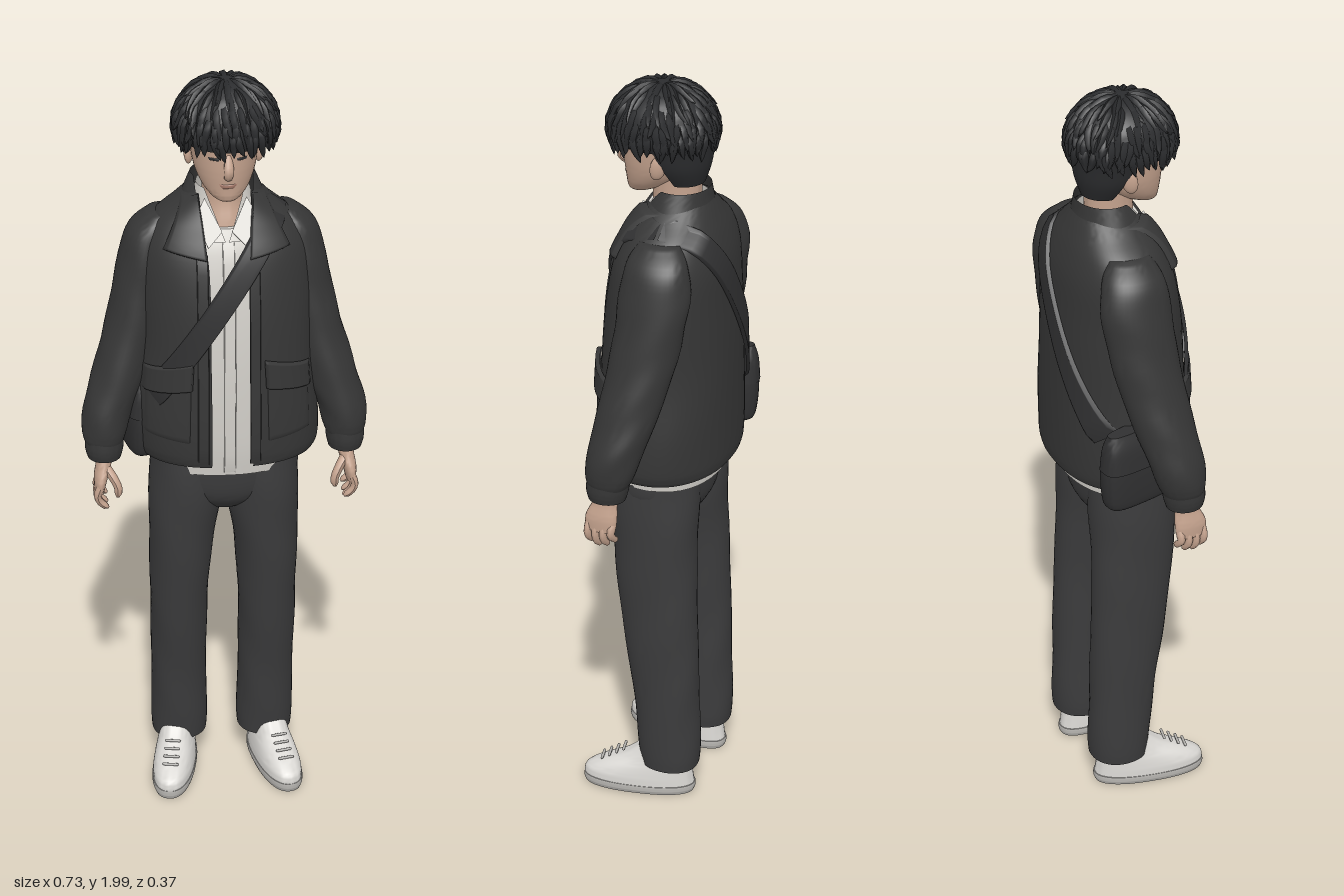
import * as THREE from 'three';
import { toCreasedNormals } from 'three/addons/utils/BufferGeometryUtils.js';

const mat = (name, color) => {
  const m = new THREE.MeshStandardMaterial({ color, side: THREE.DoubleSide });
  m.name = name;
  return m;
};

// Smoothly refine cross-sections [y, cx, cz, rx, rz, gap]
function refine(sections, n = 5) {
  const rows = [];
  const at = (i) => sections[Math.min(sections.length - 1, Math.max(0, i))];
  for (let i = 0; i < sections.length - 1; i++) {
    for (let k = 0; k < n; k++) {
      const t = k / n;
      rows.push(at(i).map((b, c) => {
        const a = at(i - 1)[c], d = at(i + 1)[c], e = at(i + 2)[c];
        return b + 0.5 * t * (d - a + t * (2 * a - 5 * b + 4 * d - e + t * (3 * (b - d) + e - a)));
      }));
    }
  }
  rows.push(at(sections.length - 1));
  return rows;
}

// Skin rising cross-sections; a sixth value opens the front by that half width
function loft(sections, { seg = 40, e = 1, fold = 0, freq = 40 } = {}) {
  const rows = refine(sections), open = sections[0].length > 5;
  const pos = [], idx = [], cols = open ? seg + 1 : seg;
  rows.forEach(([y, cx, cz, rx, rz, gap = 0]) => {
    const g = Math.asin(Math.min(1, Math.max(0, gap) / rx) ** (1 / e));
    for (let j = 0; j < cols; j++) {
      const t = g + (j / seg) * (2 * Math.PI - 2 * g), s = Math.sin(t), c = Math.cos(t);
      const w = 1 + fold * Math.sin(y * freq + 2 * s + 3 * c) * (0.6 + 0.4 * Math.sin(2 * t + y * 9));
      pos.push(cx + rx * w * Math.sign(s) * Math.abs(s) ** e, y, cz + rz * w * Math.sign(c) * Math.abs(c) ** e);
    }
  });
  for (let i = 0; i < rows.length - 1; i++) {
    for (let j = 0; j < seg; j++) {
      const a = i * cols + j, b = i * cols + ((j + 1) % cols);
      idx.push(a, b, b + cols, a, b + cols, a + cols);
    }
  }
  if (!open) { // end caps
    [0, rows.length - 1].forEach((r, top) => {
      const c = pos.length / 3;
      pos.push(rows[r][1], rows[r][0], rows[r][2]);
      for (let j = 0; j < seg; j++) {
        const a = r * cols + j, b = r * cols + ((j + 1) % seg);
        idx.push(c, top ? a : b, top ? b : a);
      }
    });
  }
  const geo = new THREE.BufferGeometry();
  geo.setAttribute('position', new THREE.Float32BufferAttribute(pos, 3));
  geo.setIndex(idx);
  return toCreasedNormals(geo, 1);
}

// Depth of a lofted surface at (x, y), front (1) or back (-1)
function depth(rows, e, x, y, side) {
  let i = rows.findIndex((r) => r[0] > y);
  if (i < 0) i = rows.length - 1;
  i = Math.max(1, i);
  const t = Math.min(1, Math.max(0, (y - rows[i - 1][0]) / (rows[i][0] - rows[i - 1][0])));
  const [, cx, cz, rx, rz] = rows[i].map((v, k) => v * t + rows[i - 1][k] * (1 - t));
  const q = Math.min(1, Math.abs(x - cx) / rx) ** (2 / e);
  return cz + side * rz * (1 - q) ** (e / 2);
}

// Four-cornered plate laid over a lofted surface
function patch(sections, e, corners, lift, side = 1, n = 24) {
  const rows = refine(sections), geo = new THREE.PlaneGeometry(1, 1, n, n), p = geo.attributes.position;
  for (let i = 0; i < p.count; i++) {
    const u = p.getX(i) + 0.5, v = 0.5 - p.getY(i);
    const edge = Math.min(u, v, 1 - u, 1 - v) < 0.01;
    const [x, y] = [0, 1].map((k) => (corners[0][k] * (1 - u) + corners[1][k] * u) * (1 - v)
      + (corners[3][k] * (1 - u) + corners[2][k] * u) * v);
    p.setXYZ(i, x, y, depth(rows, e, x, y, side) + side * lift * (edge ? 0.3 : 1));
  }
  geo.computeVertexNormals();
  if (side < 0) {
    geo.index.array.reverse();
    geo.computeVertexNormals();
  }
  return geo;
}

// Tube whose radius follows a rule along its length
function taper(points, r, rule, seg = 8, radial = 7) {
  const curve = new THREE.CatmullRomCurve3(points.map((q) => new THREE.Vector3(...q)));
  const geo = new THREE.TubeGeometry(curve, seg, r, radial), p = geo.attributes.position, v = new THREE.Vector3();
  for (let i = 0; i < p.count; i++) {
    const u = Math.floor(i / (radial + 1)) / seg, c = curve.getPointAt(u);
    v.fromBufferAttribute(p, i).sub(c).multiplyScalar(rule(u)).add(c);
    p.setXYZ(i, v.x, v.y, v.z);
  }
  geo.computeVertexNormals();
  return geo;
}

export function createModel() {
  const root = new THREE.Group();
  const hair = mat('hair charcoal', 0x2b2c2e), skin = mat('skin', 0xc6a48f), lip = mat('lip', 0xa97c6c);
  const cloth = mat('jacket grey', 0x363636), trouser = mat('trouser grey', 0x3b3b3c), bagMat = mat('bag black', 0x303031);
  const shirtMat = mat('shirt off white', 0xd2cfc9), shoeMat = mat('shoe white', 0xd9d7d3), soleMat = mat('sole grey', 0xb5b3af);
  const add = (name, geo, m, parent = root) => {
    const mesh = new THREE.Mesh(geo, m);
    mesh.name = name;
    parent.add(mesh);
    return mesh;
  };

  // Head and neck
  const face = [[1.695, 0, 0.08, 0.022, 0.022], [1.705, 0, 0.07, 0.038, 0.038], [1.73, 0, 0.045, 0.06, 0.066],
    [1.77, 0, 0.02, 0.077, 0.096], [1.82, 0, 0.01, 0.084, 0.108], [1.88, 0, 0.01, 0.088, 0.11], [1.94, 0, 0.01, 0.06, 0.08]];
  add('head', loft(face), skin);
  add('neck', loft([[1.55, 0, -0.01, 0.09, 0.08], [1.62, 0, -0.015, 0.065, 0.07], [1.68, 0, -0.02, 0.052, 0.062], [1.78, 0, -0.02, 0.054, 0.065]]), skin);
  add('nose', taper([[0, 1.825, 0.11], [0, 1.795, 0.121], [0, 1.772, 0.127], [0, 1.764, 0.112]], 0.013, (u) => 0.4 + 0.6 * Math.sin(u * 2.4)), skin);
  add('mouth', patch(face, 1, [[-0.023, 1.744], [0.023, 1.744], [0.014, 1.733], [-0.014, 1.733]], 0.003, 1, 6), lip);
  for (const s of [-1, 1]) {
    add('eye', patch(face, 1, [[s * 0.034 - 0.014, 1.812], [s * 0.034 + 0.014, 1.812], [s * 0.034 + 0.011, 1.805], [s * 0.034 - 0.011, 1.805]], 0.002, 1, 6), hair);
    const ear = add('ear', new THREE.SphereGeometry(1, 14, 10), skin);
    ear.scale.set(0.011, 0.032, 0.02);
    ear.position.set(s * 0.086, 1.79, -0.004);
    ear.rotation.set(-0.2, s * 0.4, 0);
  }

  // Hair: cap, nape and layered locks
  add('hairCap', loft([[1.835, 0.003, 0.015, 0.108, 0.126], [1.87, 0.003, 0.015, 0.124, 0.133], [1.92, 0.003, 0.015, 0.115, 0.121],
    [1.955, 0.003, 0.015, 0.086, 0.092], [1.977, 0.003, 0.015, 0.045, 0.05], [1.983, 0.003, 0.015, 0.01, 0.01]]), hair);
  add('napeHair', loft([[1.735, 0, -0.035, 0.056, 0.056, 1], [1.78, 0, -0.02, 0.085, 0.085, 1], [1.83, 0, 0, 0.103, 0.112, 1], [1.88, 0, 0.01, 0.12, 0.128, 1]]), hair);
  let seed = 7;
  const rnd = () => (seed = (seed * 16807) % 2147483647) / 2147483647;
  const tiers = [[0.05, 0.85, 14], [0.35, 1.2, 24], [0.75, 1.5, 30], [1.1, 1.75, 34], [1.35, 1.95, 38]];
  tiers.forEach(([from, to, count], tier) => {
    for (let i = 0; i < count; i++) {
      const az = ((i + rnd() * 0.7 + tier * 0.4) / count) * Math.PI * 2, end = to + (rnd() - 0.5) * 0.18, twist = (rnd() - 0.4) * 0.35;
      const pts = [0, 0.35, 0.7, 1].map((u) => {
        const pol = from + (end - from) * u, a = az + twist * u * u, k = [0.93, 1, 1, 1.03 + 0.06 * rnd()][Math.round(u * 3)];
        return [0.003 + 0.126 * k * Math.sin(pol) * Math.sin(a), 1.865 + 0.116 * k * Math.cos(pol), 0.015 + 0.135 * k * Math.sin(pol) * Math.cos(a)];
      });
      add('hairLock', taper(pts, 0.017, (u) => Math.max(0.02, (0.5 + u) * (1 - u) ** 0.7), 7, 5), hair);
    }
  });

  // Shirt with collar and button band
  const shirt = [[0.955, 0.003, -0.01, 0.192, 0.14], [1.05, 0.003, -0.01, 0.198, 0.146], [1.25, 0, -0.01, 0.195, 0.146], [1.45, 0, -0.02, 0.185, 0.138],
    [1.55, 0, -0.025, 0.16, 0.122], [1.61, 0, -0.03, 0.11, 0.1]];
  add('shirt', loft(shirt, { e: 0.9, fold: 0.008, freq: 22 }), shirtMat);
  add('buttonBand', patch(shirt, 0.9, [[-0.012, 1.58], [0.018, 1.58], [0.018, 0.965], [-0.012, 0.965]], 0.005), shirtMat);
  add('shirtCollar', loft([[1.585, 0, -0.022, 0.125, 0.118, 0.004], [1.64, 0, -0.025, 0.082, 0.092, 0.026], [1.70, 0, -0.03, 0.066, 0.074, 0.05]]), shirtMat);
  for (const s of [-1, 1]) {
    const shape = new THREE.Shape([[0.052, 0.06], [0.012, -0.025], [0.048, -0.065], [0.078, 0.01]].map(([x, y]) => new THREE.Vector2(s * x, y)));
    const flap = add('shirtCollarFlap', new THREE.ExtrudeGeometry(shape, { depth: 0.006, bevelEnabled: false }), shirtMat);
    flap.position.set(0, 1.63, 0.073);
    flap.rotation.x = -0.5;
  }

  // Open jacket
  const E = 0.88;
  const jacket = [[0.99, 0.008, -0.01, 0.226, 0.163, 0.052], [1.02, 0.008, -0.01, 0.236, 0.168, 0.052], [1.12, 0.006, -0.01, 0.236, 0.169, 0.05],
    [1.28, 0.005, -0.012, 0.222, 0.164, 0.05], [1.43, 0.005, -0.015, 0.22, 0.156, 0.05], [1.54, 0.003, -0.022, 0.212, 0.142, 0.052],
    [1.61, 0, -0.028, 0.18, 0.118, 0.062], [1.66, 0, -0.03, 0.122, 0.095, 0.062], [1.69, 0, -0.03, 0.088, 0.08, 0.064]];
  add('jacketBody', loft(jacket, { e: E, seg: 56, fold: 0.008, freq: 18 }), cloth);
  add('jacketCollar', loft([[1.62, 0, -0.028, 0.125, 0.104, 0.066], [1.68, 0, -0.03, 0.1, 0.082, 0.07], [1.725, 0, -0.035, 0.08, 0.07, 0.074]]), cloth);
  for (const s of [-1, 1]) {
    const m = (pts) => pts.map(([x, y]) => [s * x, y]);
    add('lapel', patch(jacket, E, m([[0.066, 1.69], [0.105, 1.675], [0.158, 1.565], [0.05, 1.545]]), 0.018), cloth);
    add('frontBand', patch(jacket, E, m([[0.05, 1.56], [0.078, 1.56], [0.08, 1.0], [0.052, 1.0]]), 0.006), cloth);
    add('pocket', patch(jacket, E, m([[0.095, 1.26], [0.205, 1.225], [0.21, 1.07], [0.1, 1.06]]), 0.007), cloth);
    add('pocketFlap', patch(jacket, E, m([[0.088, 1.285], [0.21, 1.25], [0.214, 1.185], [0.092, 1.21]]), 0.018), cloth);
  }

  // Crossbody bag and strap
  add('strapFront', patch(jacket, E, [[0.105, 1.672], [0.16, 1.636], [-0.175, 1.15], [-0.215, 1.19]], 0.014), bagMat);
  add('strapBack', patch(jacket, E, [[0.105, 1.672], [0.16, 1.636], [-0.165, 1.13], [-0.21, 1.17]], 0.014, -1), bagMat);
  const bag = new THREE.Group();
  bag.name = 'bag';
  bag.position.set(-0.222, 0, -0.045);
  bag.rotation.y = 0.2;
  root.add(bag);
  add('bagBody', loft([[0.975, 0, 0, 0.022, 0.075], [0.99, 0, 0, 0.036, 0.1], [1.08, 0, 0, 0.04, 0.108], [1.16, 0, 0, 0.03, 0.1], [1.185, 0, 0, 0.018, 0.09]], { e: 0.6 }), bagMat, bag);
  add('bagFlap', loft([[1.09, -0.002, 0, 0.043, 0.11], [1.15, -0.002, 0, 0.036, 0.105], [1.19, -0.002, 0, 0.02, 0.094]], { e: 0.6 }), bagMat, bag);

  // Arms, legs and feet, mirrored
  for (const s of [-1, 1]) {
    const mir = (rows) => rows.map(([y, x, ...r]) => [y, s * x, ...r]);
    add('sleeve', loft(mir([[1.02, 0.31, 0.037, 0.046, 0.052], [1.05, 0.309, 0.033, 0.056, 0.062], [1.11, 0.3, 0.022, 0.063, 0.07], [1.2, 0.269, 0.003, 0.068, 0.078],
      [1.35, 0.226, -0.025, 0.068, 0.086], [1.5, 0.199, -0.042, 0.063, 0.09], [1.58, 0.182, -0.042, 0.055, 0.08], [1.625, 0.155, -0.038, 0.035, 0.05]]), { fold: 0.025, freq: 45 }), cloth);
    add('cuff', loft(mir([[0.985, 0.311, 0.04, 0.043, 0.048], [1.01, 0.311, 0.039, 0.049, 0.054], [1.05, 0.309, 0.035, 0.05, 0.056]])), cloth);
    add('palm', loft(mir([[0.895, 0.326, 0.053, 0.013, 0.04], [0.93, 0.322, 0.052, 0.018, 0.043], [0.965, 0.314, 0.046, 0.02, 0.034], [1.0, 0.31, 0.04, 0.021, 0.028]]), { seg: 20 }), skin);
    const round = (u) => (u > 0.95 ? 0.35 : 1 - 0.2 * u);
    for (let f = 0; f < 4; f++) {
      const z = 0.084 - f * 0.021, d = [0.008, 0, 0.004, 0.018][f];
      add('finger', taper([[s * 0.324, 0.915, z], [s * 0.333, 0.885 + d / 2, z + 0.002], [s * 0.326, 0.862 + d, z], [s * 0.306, 0.845 + d, z - 0.002]], 0.011, round), skin);
    }
    add('thumb', taper([[s * 0.313, 0.965, 0.06], [s * 0.291, 0.935, 0.08], [s * 0.28, 0.91, 0.087], [s * 0.281, 0.885, 0.087]], 0.013, round), skin);

    add('trouserLeg', loft(mir([[0.09, 0.117, -0.05, 0.074, 0.08], [0.14, 0.117, -0.049, 0.076, 0.083], [0.3, 0.118, -0.04, 0.074, 0.089], [0.5, 0.118, -0.023, 0.076, 0.101],
      [0.7, 0.112, -0.008, 0.083, 0.109], [0.85, 0.1, -0.002, 0.096, 0.115], [0.98, 0.093, 0, 0.095, 0.112]]), { e: 0.93, fold: 0.018, freq: 26 }), trouser);

    const shoe = new THREE.Group();
    shoe.name = 'shoe';
    shoe.position.set(s * 0.137, 0, 0.032);
    shoe.rotation.y = s * 0.2;
    root.add(shoe);
    add('sole', loft([[0, 0, 0, 0.054, 0.15], [0.012, 0, 0, 0.058, 0.154], [0.025, 0, 0, 0.057, 0.153]], { e: 0.85 }), soleMat, shoe);
    add('upper', loft([[0.018, 0, 0, 0.056, 0.152], [0.045, 0, 0, 0.055, 0.148], [0.07, 0, -0.018, 0.051, 0.127], [0.1, 0, -0.05, 0.045, 0.092], [0.14, 0, -0.075, 0.042, 0.065]], { e: 0.88 }), shoeMat, shoe);
    for (let k = 0; k < 4; k++) {
      const lace = add('lace', new THREE.CapsuleGeometry(0.004, 0.036, 3, 6), soleMat, shoe);
      lace.position.set(0, 0.078 + k * 0.012, 0.101 - k * 0.02);
      lace.rotation.z = Math.PI / 2;
    }
  }
  add('trouserSeat', loft([[0.835, 0, -0.005, 0.06, 0.085], [0.87, 0, -0.002, 0.15, 0.108], [0.92, 0.002, 0, 0.19, 0.117], [1.0, 0.002, 0, 0.187, 0.12]], { e: 0.9 }), trouser);
  return root;
}
